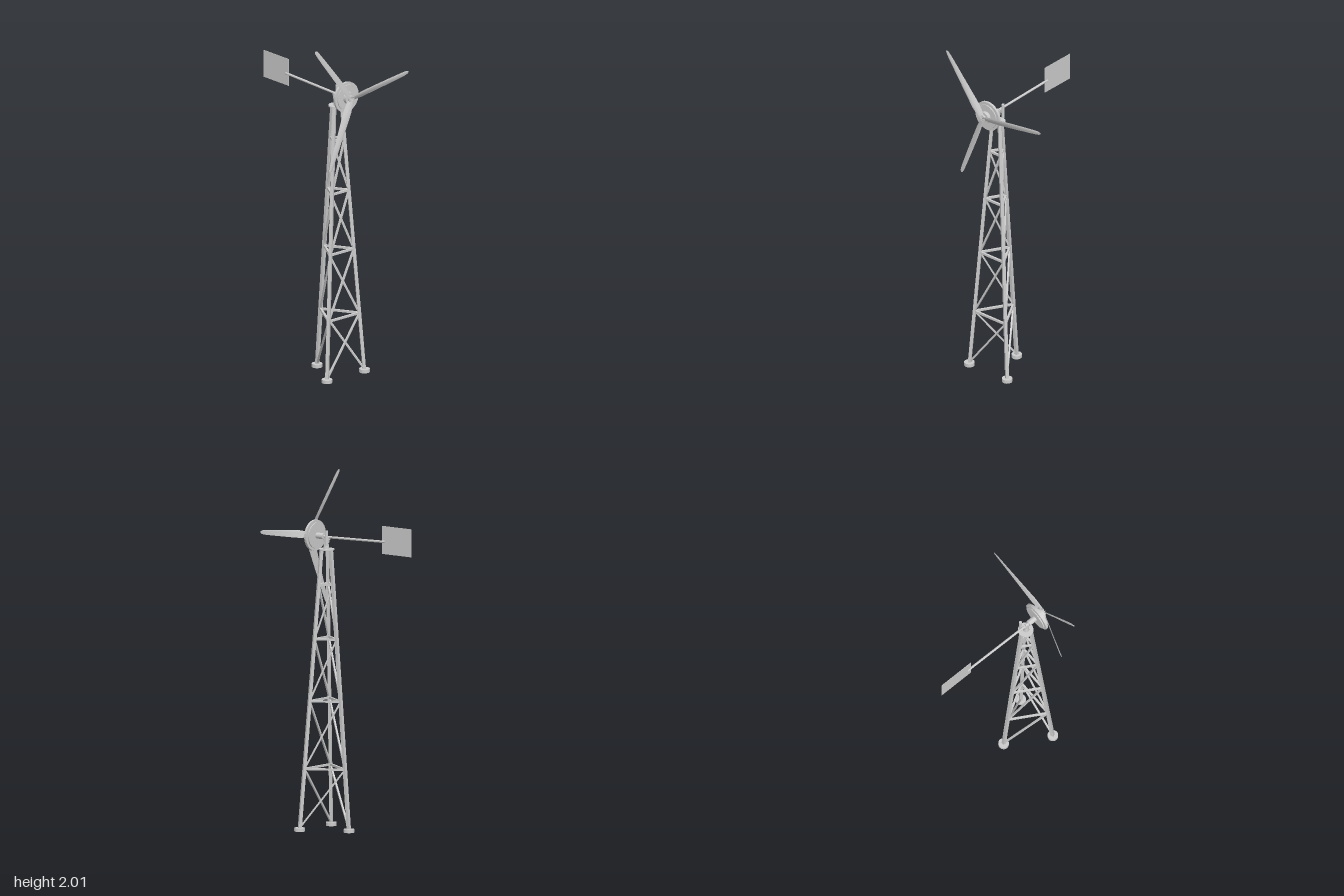
import * as THREE from 'three';

const material = new THREE.MeshStandardMaterial({ color: 0xcccccc, flatShading: true, side: THREE.DoubleSide });
const CX = -0.078, CZ = 0.237;   // tower axis
const HUB_Y = 1.663;
const TOP_Y = 1.587;
const V = (x, y, z) => new THREE.Vector3(x, y, z);

function add(parent, name, geometry, x = 0, y = 0, z = 0) {
  const mesh = new THREE.Mesh(geometry, material);
  mesh.name = name;
  mesh.position.set(x, y, z);
  parent.add(mesh);
  return mesh;
}

// Straight square beam from a to b, one face turned towards 'outward'
function beam(parent, name, width, a, b, outward) {
  const dir = b.clone().sub(a);
  const geometry = new THREE.BoxGeometry(width, width, dir.length());
  dir.normalize();
  const side = outward.clone().cross(dir).normalize();
  const up = dir.clone().cross(side);
  const middle = a.clone().add(b).multiplyScalar(0.5);
  geometry.applyMatrix4(new THREE.Matrix4().makeBasis(side, up, dir).setPosition(middle));
  return add(parent, name, geometry);
}

// Cylinder lying along z, between two z positions
function disc(parent, name, radius, z0, z1, x = CX, y = HUB_Y, sides = 24) {
  const geometry = new THREE.CylinderGeometry(radius, radius, z1 - z0, sides).rotateX(Math.PI / 2);
  return add(parent, name, geometry, x, y, (z0 + z1) / 2);
}

// Twisted blade lofted along +x from a thin aerofoil
function bladeGeometry() {
  // radius, chord, pitch
  const stations = [
    [0.0, 0.028, 0.44], [0.03, 0.038, 0.44], [0.08, 0.047, 0.42], [0.16, 0.043, 0.34], [0.25, 0.037, 0.25],
    [0.34, 0.031, 0.16], [0.40, 0.026, 0.10], [0.423, 0.020, 0.08], [0.433, 0.009, 0.08],
  ];
  const foil = [[0.5, 0], [0.3, 0.07], [0, 0.08], [-0.5, 0], [0, -0.03], [0.3, -0.04]];
  const n = foil.length, positions = [], index = [];
  stations.forEach(([r, chord, pitch], i) => {
    for (const [c, t] of foil) {
      const y = c * chord, z = t * chord;
      positions.push(r, y * Math.cos(pitch) - z * Math.sin(pitch), y * Math.sin(pitch) + z * Math.cos(pitch));
    }
    if (i === 0) return;
    for (let j = 0; j < n; j++) {
      const a = (i - 1) * n + j, b = (i - 1) * n + (j + 1) % n;
      index.push(a, b, b + n, a, b + n, a + n);
    }
  });
  const last = (stations.length - 1) * n;
  for (let j = 1; j < n - 1; j++) {
    index.push(0, j + 1, j, last, last + j, last + j + 1);
  }
  const geometry = new THREE.BufferGeometry();
  geometry.setAttribute('position', new THREE.Float32BufferAttribute(positions, 3));
  geometry.setIndex(index);
  geometry.computeVertexNormals();
  return geometry;
}

function buildTower() {
  const tower = new THREE.Group();
  tower.name = 'tower';
  const angles = [Math.PI / 6, Math.PI * 5 / 6, Math.PI * 3 / 2];
  const outward = (k) => V(Math.cos(angles[k]), 0, Math.sin(angles[k]));
  const legPoint = (k, y) => {
    const r = THREE.MathUtils.lerp(0.162, 0.031, y / TOP_Y);
    return outward(k).multiplyScalar(r).add(V(CX, y, CZ));
  };
  const levels = [0.02, 0.352, 0.735, 1.085, 1.393];

  for (let k = 0; k < 3; k++) {
    const next = (k + 1) % 3;
    const faceOut = outward(k).add(outward(next)).normalize();
    const foot = legPoint(k, 0);
    add(tower, 'foot', new THREE.CylinderGeometry(0.03, 0.03, 0.02, 20), foot.x, 0.01, foot.z);
    beam(tower, 'leg', 0.018, legPoint(k, 0.01), legPoint(k, TOP_Y), outward(k));

    // Ring bars and one diagonal brace per bay on each face
    for (let i = 1; i < levels.length; i++) {
      const low = levels[i - 1], high = levels[i];
      beam(tower, 'ringBar', 0.012, legPoint(k, high), legPoint(next, high), faceOut);
      beam(tower, 'brace', 0.01, legPoint(next, low), legPoint(k, high), faceOut);
    }
  }
  add(tower, 'topPlate', new THREE.CylinderGeometry(0.044, 0.044, 0.008, 24), CX, TOP_Y + 0.004, CZ);
  return tower;
}

function buildHead() {
  const head = new THREE.Group();
  head.name = 'head';
  // Yaw bearing and frame
  add(head, 'yawNeck', new THREE.CylinderGeometry(0.013, 0.018, 0.036, 16), CX, 1.612, 0.24);
  add(head, 'yawBlock', new THREE.BoxGeometry(0.019, 0.03, 0.03), CX, 1.644, 0.238);
  add(head, 'hingePost', new THREE.CylinderGeometry(0.009, 0.009, 0.085, 16), -0.055, 1.659, 0.218);
  add(head, 'hingeBracket', new THREE.BoxGeometry(0.034, 0.016, 0.012), -0.068, 1.655, 0.22);

  // Alternator
  disc(head, 'shaft', 0.009, 0.235, 0.36);
  disc(head, 'bearingHousing', 0.017, 0.256, 0.305);
  disc(head, 'rearRotor', 0.074, 0.305, 0.311, CX, HUB_Y, 32);
  disc(head, 'stator', 0.088, 0.314, 0.328, CX, HUB_Y, 32);
  disc(head, 'frontRotor', 0.074, 0.331, 0.337, CX, HUB_Y, 32);
  disc(head, 'hub', 0.035, 0.337, 0.358);
  disc(head, 'hubPlate', 0.02, 0.358, 0.368);
  for (let i = 0; i < 6; i++) {
    const a = i * Math.PI / 3;
    disc(head, 'hubBolt', 0.003, 0.358, 0.374, CX + 0.015 * Math.cos(a), HUB_Y + 0.015 * Math.sin(a), 6);
    disc(head, 'rotorStud', 0.003, 0.305, 0.339, CX + 0.066 * Math.cos(a), HUB_Y + 0.066 * Math.sin(a), 6);
  }
  return head;
}

function buildRotor() {
  const rotor = new THREE.Group();
  rotor.name = 'rotor';
  rotor.position.set(CX, HUB_Y, 0.365);
  const geometry = bladeGeometry();
  for (let i = 0; i < 3; i++) {
    add(rotor, 'blade', geometry).rotation.z = THREE.MathUtils.degToRad(8.4 + 120 * i);
  }
  return rotor;
}

function buildTail() {
  const tail = new THREE.Group();
  tail.name = 'tail';
  const path = new THREE.LineCurve3(V(CX, 1.661, 0.225), V(CX, 1.673, -0.187));
  add(tail, 'boom', new THREE.TubeGeometry(path, 1, 0.007, 12));
  add(tail, 'vane', new THREE.BoxGeometry(0.002, 0.159, 0.214), CX, 1.683, -0.271);
  return tail;
}

export function createModel() {
  const model = new THREE.Group();
  model.name = 'windTurbine';
  model.add(buildTower(), buildHead(), buildRotor(), buildTail());
  return model;
}
